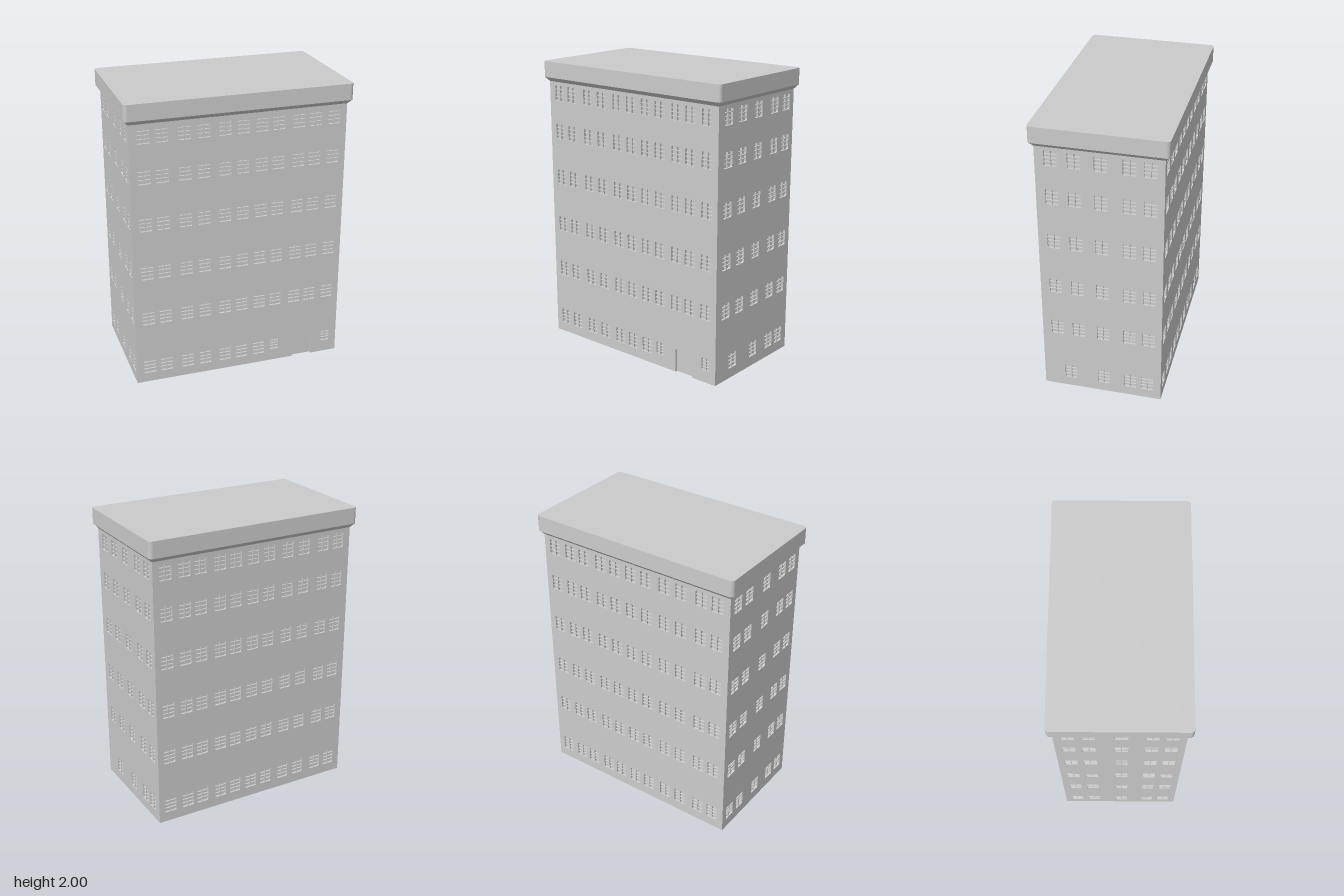
import * as THREE from 'three';
import { mergeGeometries } from 'three/addons/utils/BufferGeometryUtils.js';

const W = 0.735, D = 0.41, TOP = 1.87, DEPTH = 0.016;
const WIN_W = 0.084, WIN_H = 0.106;
const material = new THREE.MeshStandardMaterial({ color: 0xcccccc, flatShading: true });

// Rectangle with rounded corners, centred on (cx, cy)
function roundedRect(path, cx, cy, w, h, r) {
  const x = w / 2 - r, y = h / 2 - r;
  path.absarc(cx + x, cy + y, r, 0, Math.PI / 2);
  path.absarc(cx - x, cy + y, r, Math.PI / 2, Math.PI);
  path.absarc(cx - x, cy - y, r, Math.PI, Math.PI * 1.5);
  path.absarc(cx + x, cy - y, r, Math.PI * 1.5, Math.PI * 2);
  path.closePath();
  return path;
}

// Thin glazing bars: one upright and three crossbars
function glazingBars({ u, y, w, h }) {
  const t = 0.005, thick = DEPTH - 0.003;
  const bars = [new THREE.BoxGeometry(t, h, thick).translate(u, y, 0)];
  for (const f of [-0.25, 0, 0.25]) {
    bars.push(new THREE.BoxGeometry(w, t, thick - 0.001).translate(u, y + f * h, 0));
  }
  return bars.map(b => b.translate(0, 0, thick / 2));
}

// One facade: wall pierced by windows (and a door notch), local z = 0 at the recess
function createFacade(name, halfWidth, windows, door) {
  const group = new THREE.Group();
  group.name = name;

  const outline = new THREE.Shape();
  outline.moveTo(-halfWidth, 0);
  if (door) {
    outline.lineTo(door.left, 0);
    outline.lineTo(door.left, door.height);
    outline.lineTo(door.right, door.height);
    outline.lineTo(door.right, 0);
  }
  outline.lineTo(halfWidth, 0);
  outline.lineTo(halfWidth, TOP);
  outline.lineTo(-halfWidth, TOP);
  outline.closePath();
  for (const { u, y, w, h } of windows) {
    outline.holes.push(roundedRect(new THREE.Path(), u, y, w, h, 0.007));
  }

  const wall = new THREE.Mesh(
    new THREE.ExtrudeGeometry(outline, { depth: DEPTH, bevelEnabled: false, curveSegments: 2 }), material);
  wall.name = name + 'Wall';
  const bars = new THREE.Mesh(mergeGeometries(windows.flatMap(glazingBars)), material);
  bars.name = name + 'WindowBars';
  group.add(wall, bars);
  return group;
}

const rowOf = (us, y) => us.map(u => ({ u, y, w: WIN_W, h: WIN_H }));

export function createModel() {
  const model = new THREE.Group();
  model.name = 'apartmentBlock';

  // Window layout
  const floors = [0.496, 0.835, 1.183, 1.51, 1.782];
  const ground = 0.121;
  const longX = [-0.643, -0.524, -0.373, -0.246, -0.103, 0.018, 0.146, 0.262, 0.402, 0.516, 0.648];
  const rightZ = [0.307, 0.159, -0.01, -0.19, -0.323];
  const leftZ = [-0.323, -0.195, 0.01, 0.2, 0.323];
  const groundRightZ = [0.222, -0.01, -0.196, -0.313];
  const upper = us => floors.flatMap(y => rowOf(us, y));
  const flip = us => us.map(u => -u);

  // Solid core: forms the panes, the door and the underside
  const core = new THREE.Mesh(
    new THREE.BoxGeometry(2 * (W - DEPTH), TOP, 2 * (D - DEPTH)).translate(0, TOP / 2, 0), material);
  core.name = 'panesAndDoor';
  model.add(core);

  // Front, with the entrance and two smaller windows beside it
  const smallWindows = [0.262, 0.653].map(u => ({ u, y: 0.13, w: 0.062, h: 0.086 }));
  const front = createFacade('front', W,
    [...upper(longX), ...rowOf(longX.slice(0, 7), ground), ...smallWindows],
    { left: 0.4, right: 0.545, height: 0.165 });
  front.position.z = D - DEPTH;

  const back = createFacade('back', W, [...upper(flip(longX)), ...rowOf(flip(longX), ground)]);
  back.rotation.y = Math.PI;
  back.position.z = -(D - DEPTH);

  // End walls fit between the long walls
  const plusX = createFacade('leftEnd', D - DEPTH,
    [...upper(flip(rightZ)), ...rowOf(flip(groundRightZ), ground)]);
  plusX.rotation.y = Math.PI / 2;
  plusX.position.x = W - DEPTH;

  const minusX = createFacade('rightEnd', D - DEPTH, [...upper(leftZ), ...rowOf(leftZ, ground)]);
  minusX.rotation.y = -Math.PI / 2;
  minusX.position.x = -(W - DEPTH);
  model.add(front, back, plusX, minusX);

  // Sloped moulding under the roof: a box narrowed at the bottom
  const mouldingGeo = new THREE.BoxGeometry(2, 0.03, 2);
  const p = mouldingGeo.attributes.position;
  for (let i = 0; i < p.count; i++) {
    const out = p.getY(i) > 0 ? 0.025 : 0;
    p.setX(i, p.getX(i) * (W + out));
    p.setZ(i, p.getZ(i) * (D + out));
  }
  mouldingGeo.computeVertexNormals();
  const moulding = new THREE.Mesh(mouldingGeo, material);
  moulding.name = 'moulding';
  moulding.position.y = 1.875;

  // Roof slab with rounded corners
  const slab = roundedRect(new THREE.Shape(), 0, 0, 1.53, 0.884, 0.025);
  const roof = new THREE.Mesh(
    new THREE.ExtrudeGeometry(slab, { depth: 0.11, bevelEnabled: false, curveSegments: 4 })
      .rotateX(-Math.PI / 2), material);
  roof.name = 'roof';
  roof.position.y = 1.89;
  model.add(moulding, roof);

  return model;
}
